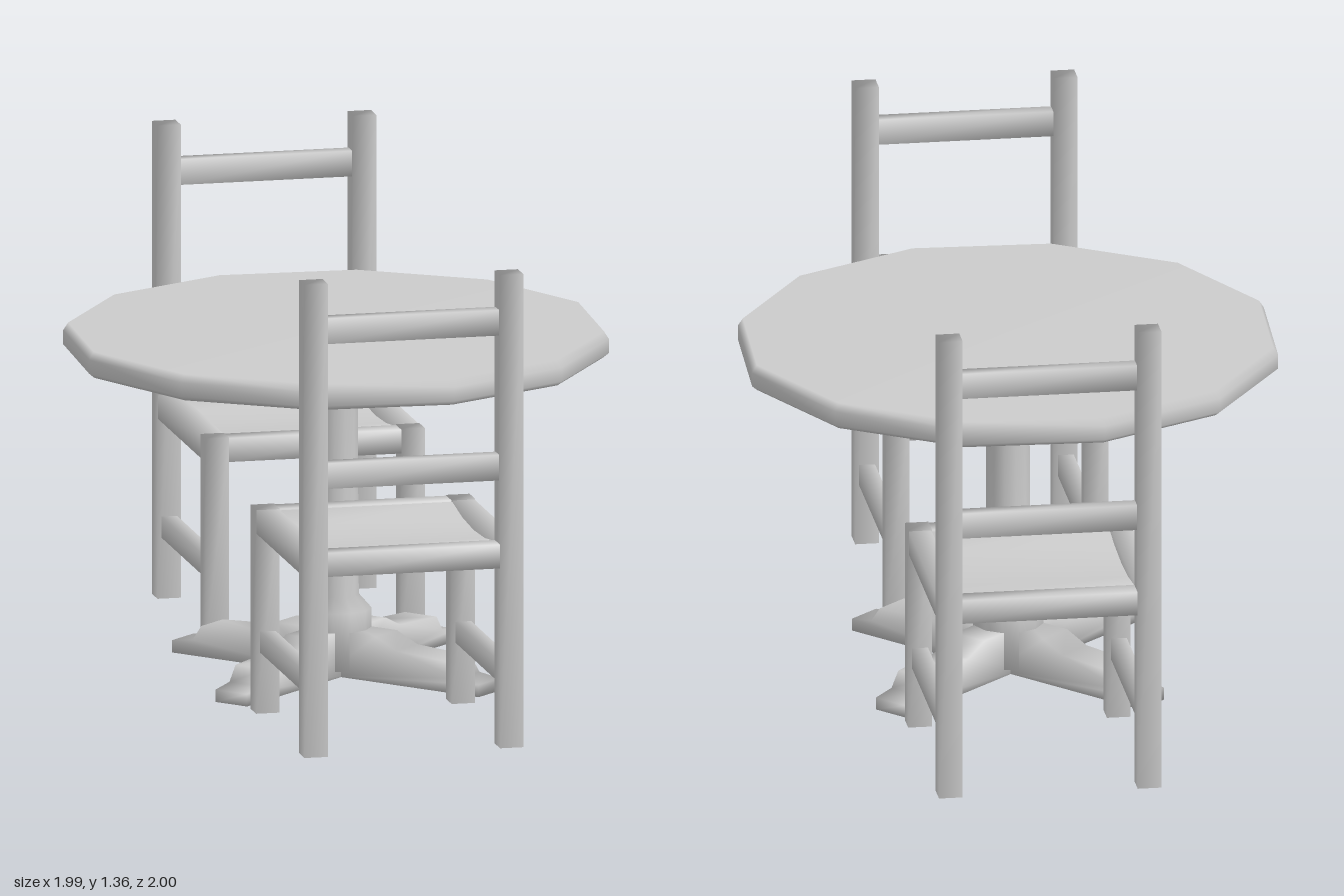
import * as THREE from 'three';
import { mergeVertices } from 'three/addons/utils/BufferGeometryUtils.js';

const material = new THREE.MeshStandardMaterial({ color: 0xcccccc });

// Share corner vertices so that shading runs smoothly over the edges
function soften(geometry) {
  geometry.deleteAttribute('normal');
  geometry.deleteAttribute('uv');
  const merged = mergeVertices(geometry, 1e-4);
  merged.computeVertexNormals();
  return merged;
}

function addMesh(parent, name, geometry) {
  const mesh = new THREE.Mesh(geometry, material);
  mesh.name = name;
  parent.add(mesh);
  return mesh;
}

// Box given by its centre in x and z and its bottom and top heights
function addBar(parent, name, width, depth, bottom, top, x, z) {
  const bar = addMesh(parent, name, soften(new THREE.BoxGeometry(width, top - bottom, depth)));
  bar.position.set(x, (bottom + top) / 2, z);
}

// Seat panel that sags gently between the front and back rails
function seatGeometry(width, depth) {
  const geometry = new THREE.BoxGeometry(width, 0.025, depth, 1, 1, 4);
  const p = geometry.attributes.position;
  for (let i = 0; i < p.count; i++) {
    const t = p.getZ(i) / (depth / 2);
    p.setY(i, p.getY(i) - 0.025 * (1 - t * t));
  }
  return soften(geometry);
}

// Chair with its backrest on the +z side
function createChair(name) {
  const chair = new THREE.Group();
  chair.name = name;
  const hx = 0.281, hz = 0.298, post = 0.067;
  const innerW = 2 * hx - post + 0.01, innerD = 2 * hz - post + 0.01;

  for (const s of [-1, 1]) {
    addBar(chair, 'backPost', post, post, 0.005, 1.36, s * hx, hz);
    addBar(chair, 'frontLeg', post, post, 0.005, 0.59, s * hx, -hz);
    addBar(chair, 'sideRail', post * 0.95, innerD, 0.52, 0.588, s * hx, 0);
    addBar(chair, 'sideStretcher', 0.045, innerD, 0.18, 0.24, s * hx, 0);
    addBar(chair, 'seatRail', innerW, post * 0.95, 0.52, 0.588, 0, s * hz);
  }
  for (const y of [0.77, 1.185]) {
    addBar(chair, 'backSlat', innerW, 0.045, y, y + 0.073, 0, hz);
  }
  const seat = addMesh(chair, 'seat', seatGeometry(innerW, innerD));
  seat.position.y = 0.572;
  return chair;
}

function lathe(profile, sides) {
  return new THREE.LatheGeometry(profile.map(([r, y]) => new THREE.Vector2(r, y)), sides);
}

// Round table on a turned pedestal with four feet
function createTable() {
  const table = new THREE.Group();
  table.name = 'table';

  addMesh(table, 'tableTop', lathe([
    [0, 0.912], [0.75, 0.912], [0.766, 0.925], [0.766, 0.965], [0.752, 0.987], [0, 0.987],
  ], 12));

  addMesh(table, 'pedestal', lathe([
    [0, 0.02], [0.1, 0.02], [0.1, 0.185], [0.064, 0.225], [0.061, 0.775],
    [0.075, 0.8], [0.125, 0.865], [0.127, 0.915],
  ], 12));

  // Stepped foot profile, extruded to its width
  const outline = [
    [0, 0], [0.52, 0], [0.52, 0.035], [0.45, 0.045], [0.42, 0.088],
    [0.24, 0.098], [0.17, 0.13], [0, 0.13],
  ].map(([x, y]) => new THREE.Vector2(x, y));
  const footWidth = 0.107;
  const foot = new THREE.ExtrudeGeometry(new THREE.Shape(outline), {
    depth: footWidth, bevelEnabled: false,
  });
  foot.translate(0, 0, -footWidth / 2);
  const footGeometry = soften(foot);
  for (let i = 0; i < 4; i++) {
    addMesh(table, 'foot', footGeometry).rotation.y = i * Math.PI / 2;
  }
  return table;
}

export function createModel() {
  const model = new THREE.Group();
  model.name = 'diningSet';

  const table = createTable();
  table.position.set(-0.01, 0, -0.006);
  model.add(table);

  // Two chairs face each other across the table
  for (const s of [1, -1]) {
    const chair = createChair(s > 0 ? 'frontChair' : 'backChair');
    chair.position.set(s * 0.539, 0, s * 0.544);
    chair.rotation.y = 0.829 + (s > 0 ? 0 : Math.PI);
    model.add(chair);
  }
  return model;
}
